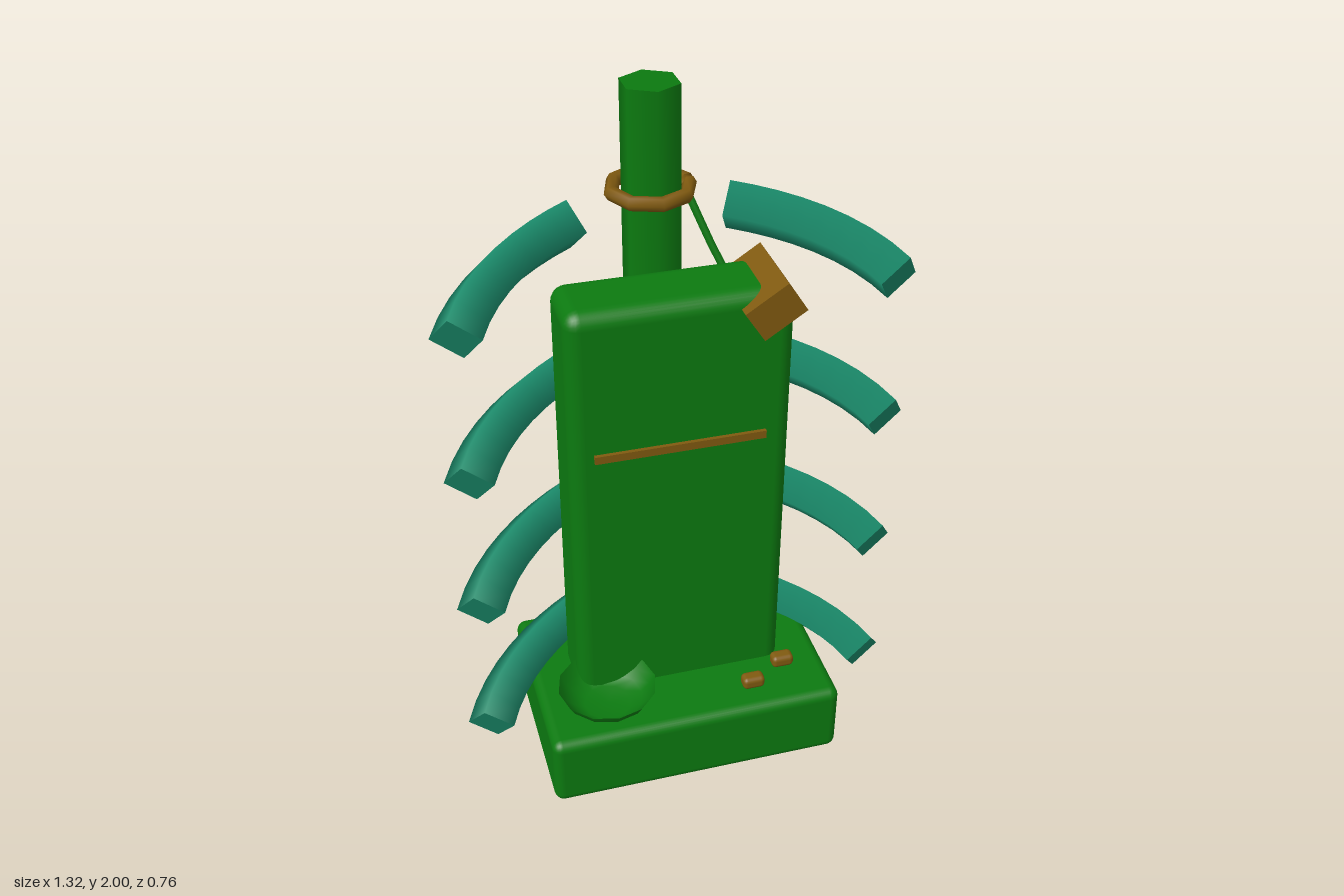
import * as THREE from 'three';
import { RoundedBoxGeometry } from 'three/addons/geometries/RoundedBoxGeometry.js';

const material = (color, side = THREE.FrontSide) => new THREE.MeshStandardMaterial({ color, side });
const V = (x, y, z) => new THREE.Vector3(x, y, z);

export function createModel() {
  const group = new THREE.Group();
  const green = material(0x0c7a10);
  const greenThin = material(0x0c7a10, THREE.DoubleSide);
  const teal = material(0x1a8a6a, THREE.DoubleSide);
  const amber = material(0x805a10, THREE.DoubleSide);

  const add = (name, geometry, mat, x = 0, y = 0, z = 0) => {
    const mesh = new THREE.Mesh(geometry, mat);
    mesh.name = name;
    mesh.position.set(x, y, z);
    group.add(mesh);
    return mesh;
  };

  // Base block and upright panel
  add('base', new RoundedBoxGeometry(0.89, 0.235, 0.59, 3, 0.03), green, 0, 0.13, 0.07);
  add('panel', new RoundedBoxGeometry(0.635, 1.35, 0.215, 3, 0.045), green, 0, 0.875, 0.048);
  add('panelStrip', new THREE.BoxGeometry(0.49, 0.024, 0.02), amber, -0.005, 1.103, 0.157);

  // Six-sided rear pole, leaning slightly back
  const pole = add('pole', new THREE.CylinderGeometry(0.086, 0.086, 1.995, 6), green, 0.02, 1, -0.229);
  pole.rotation.x = -0.019;

  // Split collar around the pole
  const collar = add('collar', new THREE.TorusGeometry(0.113, 0.021, 6, 8, 6.12), amber, 0.02, 1.69, -0.252);
  collar.rotation.x = Math.PI / 2;

  // Cable from the collar down behind the panel
  const cablePath = new THREE.CatmullRomCurve3([
    V(0.11, 1.69, -0.19), V(0.165, 1.55, -0.14), V(0.22, 1.42, -0.095), V(0.26, 1.22, -0.06),
  ]);
  add('cable', new THREE.TubeGeometry(cablePath, 10, 0.012, 6), greenThin);

  // Tilted clip on the upper corner
  const clip = add('cornerClip', new THREE.BoxGeometry(0.14, 0.105, 0.24), amber, 0.247, 1.502, 0.066);
  clip.rotation.z = 0.58;

  // Open dish on the base
  const dishProfile = [[0, 0], [0.07, 0], [0.105, 0.02], [0.13, 0.045], [0.147, 0.075]]
    .map(([r, y]) => new THREE.Vector2(r, y));
  add('dish', new THREE.LatheGeometry(dishProfile, 12), greenThin, -0.25, 0.257, 0.23);

  // Two small buttons on the base
  for (const [x, z] of [[0.195, 0.267], [0.31, 0.2]]) {
    add('button', new RoundedBoxGeometry(0.068, 0.04, 0.045, 2, 0.014), amber, x, 0.27, z);
  }

  // Curved four-sided ribs with closed ends, mirrored left and right
  const rings = 8;
  for (const side of [-1, 1]) {
    const path = new THREE.QuadraticBezierCurve3(
      V(side * 0.225, 0.1, -0.187), V(side * 0.5, 0.08, -0.03), V(side * 0.595, 0, 0.165));
    const tube = new THREE.TubeGeometry(path, rings, 0.073, 4);
    const pos = tube.attributes.position;
    const caps = [0, rings].map((ring) => {
      const p = [0, 1, 2, 3].map((j) => new THREE.Vector3().fromBufferAttribute(pos, ring * 5 + j));
      const order = ring ? [0, 1, 2, 0, 2, 3] : [0, 2, 1, 0, 3, 2];
      const cap = new THREE.BufferGeometry().setFromPoints(order.map((i) => p[i]));
      // Wind the cap to face away from the tube
      const normal = p[1].clone().sub(p[0]).cross(p[2].clone().sub(p[0]));
      const outward = path.getTangent(ring ? 1 : 0);
      if (normal.dot(outward) < 0 ) {
        const flip = ring ? [0, 2, 1, 0, 3, 2] : order;
        cap.setFromPoints(flip.map((i) => p[i]));
      }
      cap.computeVertexNormals();
      return cap;
    });
    for (let row = 0; row < 4; row++) {
      const rib = new THREE.Group();
      rib.name = side > 0 ? 'leftRib' : 'rightRib';
      rib.position.y = 0.197 + row * 0.4485;
      for (const geometry of [tube, ...caps]) {
        const mesh = new THREE.Mesh(geometry, teal);
        mesh.name = geometry === tube ? 'ribBody' : 'ribEnd';
        rib.add(mesh);
      }
      group.add(rib);
    }
  }
  return group;
}
